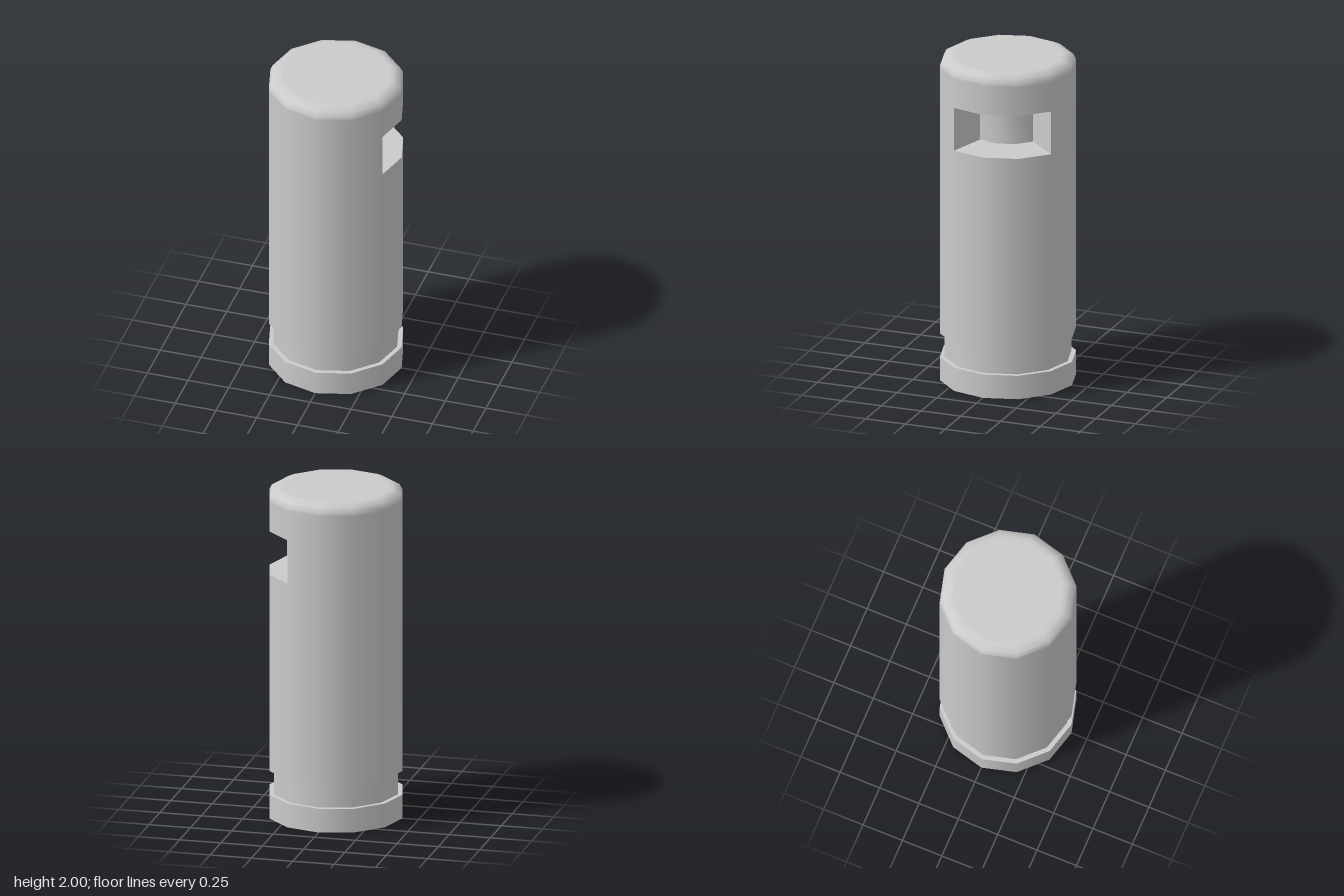
import * as THREE from 'three';

const R = 0.403, GROOVE_R = 0.375, SIDES = 12;
const NOTCH_LOW = 1.49, NOTCH_HIGH = 1.755;

export function createModel() {
  const group = new THREE.Group();
  const material = new THREE.MeshStandardMaterial({ color: 0xcccccc });

  const add = (name, geometry) => {
    const mesh = new THREE.Mesh(geometry, material);
    mesh.name = name;
    group.add(mesh);
  };

  // Twelve-sided turned surface, smooth within one profile
  const turn = (name, profile, start = 0, steps = SIDES) =>
    add(name, new THREE.LatheGeometry(
      profile.map(([r, y]) => new THREE.Vector2(r, y)),
      steps, start, steps * Math.PI * 2 / SIDES));

  // Upright strip following [x, z] points, spanning the notch height
  const wall = (name, path) => {
    const positions = [], index = [];
    path.forEach(([x, z], i) => {
      positions.push(x, NOTCH_LOW, z, x, NOTCH_HIGH, z);
      const a = i * 2;
      if (i < path.length - 1) index.push(a, a + 2, a + 1, a + 2, a + 3, a + 1);
    });
    const geometry = new THREE.BufferGeometry();
    geometry.setAttribute('position', new THREE.Float32BufferAttribute(positions, 3));
    geometry.setIndex(index);
    geometry.computeVertexNormals();
    add(name, geometry);
  };

  // Foot, groove and barrel, split at each sharp edge
  turn('footBottom', [[0, 0], [R, 0]]);
  turn('footRim', [[R, 0], [R, 0.145]]);
  turn('footLedge', [[R, 0.145], [GROOVE_R, 0.145]]);
  turn('groove', [[GROOVE_R, 0.145], [GROOVE_R, 0.29]]);
  turn('barrelLedge', [[GROOVE_R, 0.29], [R, 0.29]]);
  turn('lowerBarrel', [[R, 0.29], [R, NOTCH_LOW]]);

  // Barrel around the notch: three of the twelve sides are left open
  turn('notchedBarrel', [[R, NOTCH_LOW], [R, NOTCH_HIGH]], Math.PI * 5 / 6, 9);

  // Upper barrel with rounded rim and flat top
  turn('upperBarrel', [[R, NOTCH_HIGH], [R, 1.935], [R, 1.95], [0.388, 1.982],
    [0.35, 2], [0.32, 2], [0, 2]]);

  // Notch pocket: the back is a smaller copy of the open rim, set inwards
  const rim = [60, 90, 120, 150].map((deg) => {
    const a = THREE.MathUtils.degToRad(deg);
    return [R * Math.sin(a), R * Math.cos(a)];
  });
  const back = rim.map(([x, z]) => [
    0.11 + 0.55 * (x - rim[0][0]),
    0.133 + 0.55 * (z - rim[0][1]),
  ]);
  wall('notchFrontWall', [rim[0], back[0]]);
  wall('notchBack', back);
  wall('notchRearWall', [back[3], rim[3]]);

  const outline = [...rim, ...back.slice().reverse()];
  const flat = (sign) => new THREE.ShapeGeometry(
    new THREE.Shape(outline.map(([x, z]) => new THREE.Vector2(x, sign * z))))
    .rotateX(sign * Math.PI / 2);
  add('notchFloor', flat(-1).translate(0, NOTCH_LOW, 0));
  add('notchCeiling', flat(1).translate(0, NOTCH_HIGH, 0));

  return group;
}
